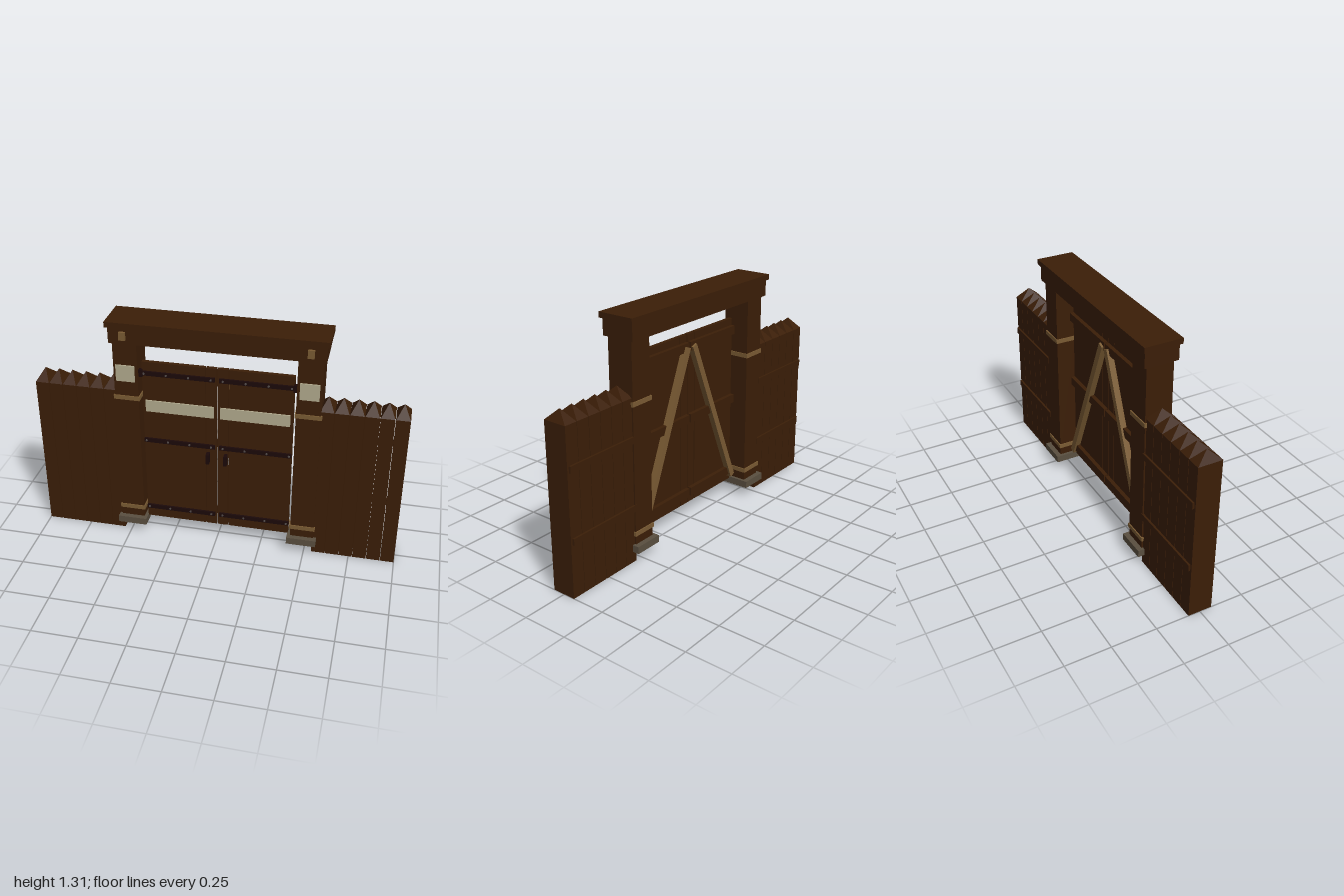
import * as THREE from 'three';

const mat = (name, color) => {
  const m = new THREE.MeshStandardMaterial({ color });
  m.name = name;
  return m;
};

export function createModel() {
  const wood = mat('dark wood', 0x3b1e07);
  const tan = mat('tan wood', 0x7a5b33);
  const iron = mat('dark iron', 0x1b0909);
  const rivetMat = mat('rivet metal', 0x554e4c);
  const pale = mat('pale panel', 0xb2aa8e);
  const stone = mat('stone', 0x5a4f40);

  const gate = new THREE.Group();
  gate.name = 'gate';

  // Box given by its minimum and maximum on each axis
  const box = (parent, name, material, x0, x1, y0, y1, z0, z1) => {
    const mesh = new THREE.Mesh(new THREE.BoxGeometry(Math.abs(x1 - x0), y1 - y0, z1 - z0), material);
    mesh.position.set((x0 + x1) / 2, (y0 + y1) / 2, (z0 + z1) / 2);
    mesh.name = name;
    parent.add(mesh);
  };

  // Four-sided point on top of a picket
  const pointGeometry = new THREE.ConeGeometry(Math.SQRT1_2, 1, 4).toNonIndexed();
  pointGeometry.rotateY(Math.PI / 4);
  pointGeometry.computeVertexNormals();
  const rivetGeometry = new THREE.CylinderGeometry(0.006, 0.006, 0.006, 8).rotateX(Math.PI / 2);

  // Beam across the top, with its cap
  box(gate, 'lintel', wood, -0.563, 0.563, 1.19, 1.28, -0.094, 0.094);
  box(gate, 'lintelCap', wood, -0.577, 0.577, 1.28, 1.31, -0.105, 0.105);

  for (const s of [-1, 1]) {
    const side = s > 0 ? 'left' : 'right';

    // Post with footing, bands, plate and peg
    const post = new THREE.Group();
    post.name = side + 'Post';
    gate.add(post);
    box(post, 'postShaft', wood, s * 0.42, s * 0.55, 0.08, 1.19, -0.075, 0.075);
    box(post, 'footing', stone, s * 0.403, s * 0.566, 0.06, 0.1, -0.104, 0.104);
    for (const y of [0.16, 0.868]) {
      box(post, 'postBand', tan, s * 0.414, s * 0.556, y - 0.012, y + 0.012, -0.081, 0.081);
    }
    box(post, 'postPlate', pale, s * 0.435, s * 0.537, 0.967, 1.06, 0.075, 0.083);
    box(post, 'peg', tan, s * 0.468, s * 0.502, 1.215, 1.26, 0.09, 0.108);

    // Picket fence with two rails behind
    const fence = new THREE.Group();
    fence.name = side + 'Fence';
    gate.add(fence);
    for (let i = 0; i < 6; i++) {
      const x = 0.963 - i * 0.0768;
      box(fence, 'picket', wood, s * (x - 0.037), s * (x + 0.037), 0, 0.9, -0.067, 0.067);
      const tip = new THREE.Mesh(pointGeometry, wood);
      tip.name = 'picketPoint';
      tip.scale.set(0.074, 0.06, 0.134);
      tip.position.set(s * x, 0.93, 0);
      fence.add(tip);
    }
    for (const y of [0.307, 0.682]) {
      box(fence, 'fenceRail', wood, s * 0.54, s * 0.99, y - 0.018, y + 0.018, -0.078, -0.064);
    }

    // Door leaf: wide and narrow plank
    const door = new THREE.Group();
    door.name = side + 'Door';
    gate.add(door);
    box(door, 'widePlank', wood, s * 0.064, s * 0.405, 0.09, 1.075, 0.022, 0.045);
    box(door, 'narrowPlank', wood, s * 0.003, s * 0.059, 0.09, 1.075, 0.022, 0.045);
    box(door, 'palePanel', pale, s * 0.018, s * 0.39, 0.783, 0.85, 0.045, 0.053);

    // Iron straps with rivets, and ledgers on the back
    for (const y of [0.16, 0.603, 1.012]) {
      box(door, 'hingeStrap', iron, s * 0.012, s * 0.405, y - 0.012, y + 0.012, 0.045, 0.056);
      for (let i = 0; i < 4; i++) {
        const rivet = new THREE.Mesh(rivetGeometry, rivetMat);
        rivet.name = 'rivet';
        rivet.position.set(s * (0.032 + i * 0.12), y, 0.057);
        door.add(rivet);
      }
      box(door, 'ledger', wood, s * 0.006, s * 0.403, y - 0.024, y + 0.024, 0, 0.022);
    }
    box(door, 'hingeKnuckle', iron, s * 0.4, s * 0.42, 0.992, 1.032, 0.036, 0.06);
    box(door, 'handle', iron, s * 0.04, s * 0.058, 0.507, 0.565, 0.045, 0.08);

    // Diagonal brace rising to the middle
    const dx = -0.365, dy = 0.89;
    const brace = new THREE.Mesh(new THREE.BoxGeometry(0.035, Math.hypot(dx, dy), 0.034), tan);
    brace.name = 'brace';
    brace.position.set(s * 0.208, 0.57, 0.005);
    brace.rotation.z = Math.atan2(-s * dx, dy);
    door.add(brace);
  }
  return gate;
}
